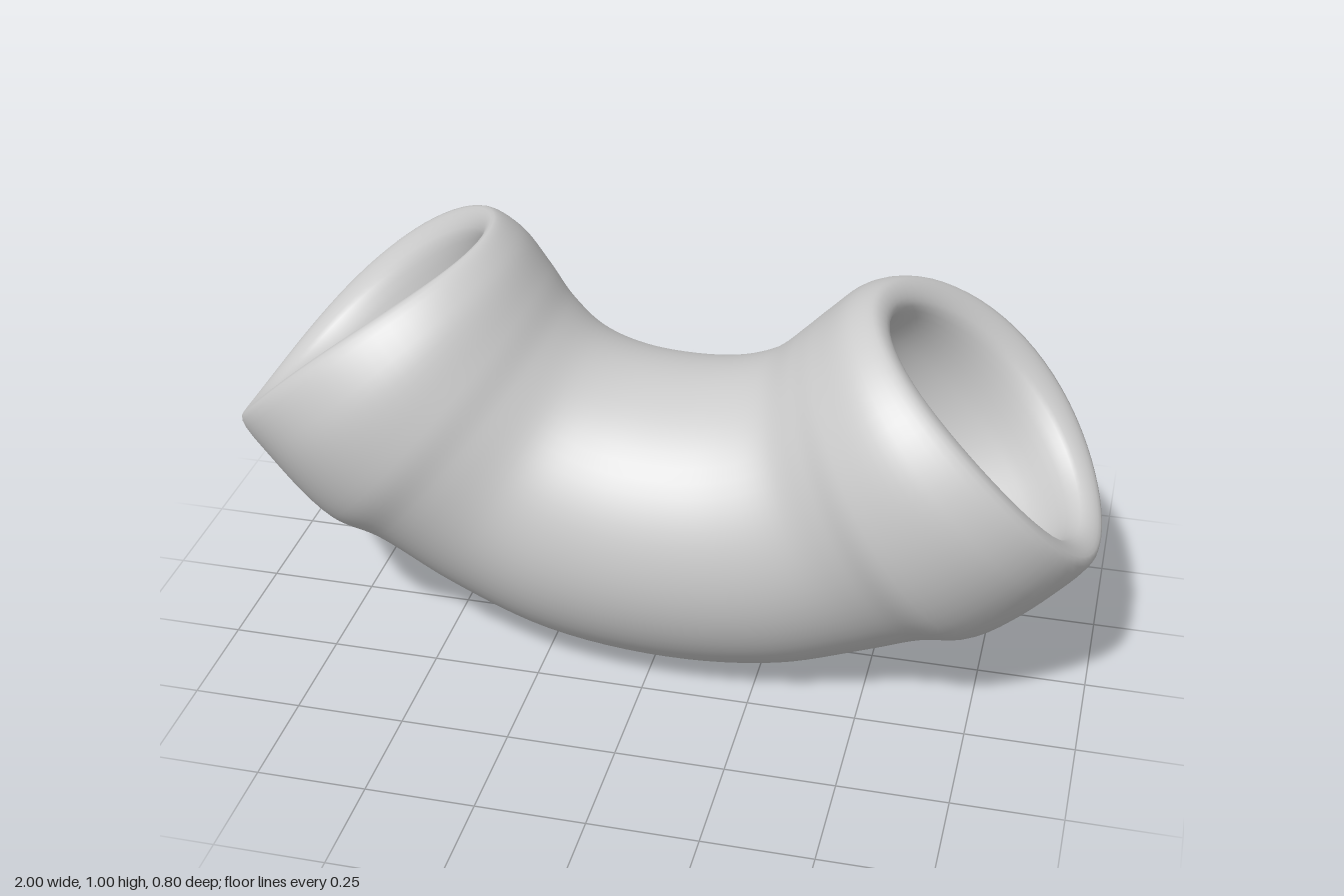
import * as THREE from 'three';

// Cross-sections: [inner-bend x, y, outer-bend x, y, half width in z, bulge along the axis]
const OUTER = [
  [-0.41, 1.01, -1.0, 0.52, 0.34, 0.05], // left lip
  [-0.35, 0.97, -0.92, 0.43, 0.395, 0.02],
  [-0.29, 0.89, -0.79, 0.30, 0.395, 0],
  [-0.24, 0.82, -0.68, 0.255, 0.37, 0],
  [-0.17, 0.76, -0.5, 0.14, 0.345, 0],
  [-0.08, 0.725, -0.25, 0.04, 0.35, 0],
  [0.05, 0.715, 0.05, 0.005, 0.355, 0], // middle of the bend
  [0.15, 0.73, 0.32, 0.03, 0.35, 0],
  [0.23, 0.765, 0.53, 0.1, 0.345, 0],
  [0.29, 0.82, 0.66, 0.155, 0.365, 0],
  [0.34, 0.87, 0.78, 0.19, 0.395, 0],
  [0.41, 0.935, 0.93, 0.32, 0.395, -0.02],
  [0.47, 0.95, 1.0, 0.41, 0.34, -0.05], // right lip
];
const BORE = [
  [0.50, 0.90, 0.95, 0.44, 0.26, -0.03],
  [0.42, 0.83, 0.85, 0.35, 0.25, 0],
  [0.28, 0.73, 0.55, 0.2, 0.25, 0],
  [0.05, 0.69, 0.05, 0.1, 0.27, 0],
  [-0.2, 0.74, -0.52, 0.24, 0.25, 0],
  [-0.34, 0.87, -0.82, 0.43, 0.25, 0],
  [-0.43, 0.96, -0.94, 0.55, 0.26, 0.03],
];

// Lofts ellipses through the sections; the loop runs along the outside and back through the bore
function loftClosed(sections, perSection, around) {
  const curve = (f) => new THREE.CatmullRomCurve3(sections.map(f), true, 'centripetal');
  const inner = curve((s) => new THREE.Vector3(s[0], s[1], s[4]));
  const outer = curve((s) => new THREE.Vector3(s[2], s[3], s[5]));
  const rings = sections.length * perSection;
  const positions = [], index = [];
  for (let i = 0; i < rings; i++) {
    const t = inner.getPoint(i / rings), b = outer.getPoint(i / rings);
    const hx = (t.x - b.x) / 2, hy = (t.y - b.y) / 2, len = Math.hypot(hx, hy);
    for (let j = 0; j < around; j++) {
      const a = (j / around) * Math.PI * 2, c = Math.cos(a), s = Math.sin(a);
      const bulge = (b.z * s * s) / len;
      positions.push(
        (t.x + b.x) / 2 + hx * c - hy * bulge,
        (t.y + b.y) / 2 + hy * c + hx * bulge,
        t.z * s,
      );
      const i2 = ((i + 1) % rings) * around, j2 = (j + 1) % around;
      const p = i * around + j, pa = i * around + j2, ps = i2 + j, pas = i2 + j2;
      index.push(p, pa, ps, pa, pas, ps);
    }
  }
  const geometry = new THREE.BufferGeometry();
  geometry.setAttribute('position', new THREE.Float32BufferAttribute(positions, 3));
  geometry.setIndex(index);
  geometry.computeVertexNormals();
  return geometry;
}

export function createModel() {
  const group = new THREE.Group();
  group.name = 'pipeElbow';
  // Hollow curved pipe with flared collars and rounded lips
  const pipe = new THREE.Mesh(
    loftClosed([...OUTER, ...BORE], 6, 64),
    new THREE.MeshStandardMaterial({ color: 0xcccccc }),
  );
  pipe.name = 'curvedPipe';
  group.add(pipe);
  return group;
}
